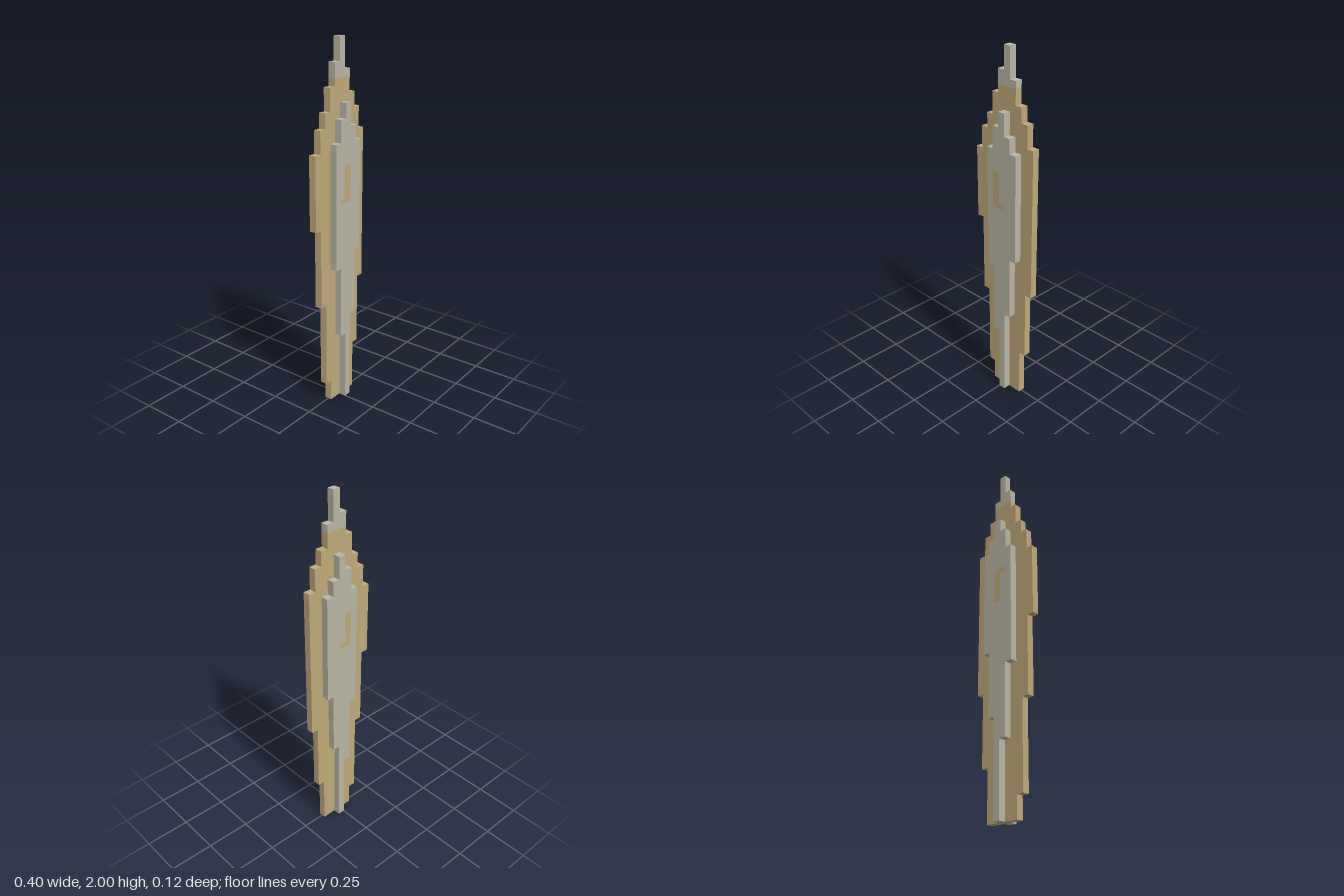
import * as THREE from 'three';

const gold = new THREE.MeshStandardMaterial({ name: 'dull gold', color: 0xbfa878 });
const grey = new THREE.MeshStandardMaterial({ name: 'warm grey', color: 0xbab5a3 });

// Stepped outline: each step is [x, yFrom, yTo], right edge going down, left edge going up
function steppedShape(right, left) {
  const points = [];
  for (const [x, a, b] of [...right, ...left]) {
    points.push(new THREE.Vector2(x, a), new THREE.Vector2(x, b));
  }
  return new THREE.Shape(points);
}

// Rectangular opening in the blade and panels
function windowHole() {
  return new THREE.Path([[-0.04, 1.16], [-0.04, 1.36], [0.04, 1.36], [0.04, 1.16]]
    .map(([x, y]) => new THREE.Vector2(x, y)));
}

function slab(name, shape, z, material) {
  const geometry = new THREE.ExtrudeGeometry(shape, { depth: 0.04, bevelEnabled: false });
  geometry.translate(0, 0, z - 0.02);
  const mesh = new THREE.Mesh(geometry, material);
  mesh.name = name;
  return mesh;
}

export function createModel() {
  const model = new THREE.Group();
  model.name = 'steppedBlade';

  // Gold blade
  const blade = steppedShape(
    [[0.08, 1.8, 1.72], [0.12, 1.72, 1.64], [0.16, 1.64, 1.52], [0.2, 1.52, 0.68],
      [0.16, 0.68, 0.28], [0.12, 0.28, 0]],
    [[-0.08, 0, 0.12], [-0.12, 0.12, 0.6], [-0.16, 0.6, 1.04], [-0.2, 1.04, 1.44],
      [-0.16, 1.44, 1.56], [-0.12, 1.56, 1.64], [-0.08, 1.64, 1.76], [-0.04, 1.76, 1.8]]);
  blade.holes.push(windowHole());
  model.add(slab('blade', blade, 0, gold));

  // Grey tip
  const tip = steppedShape([[0.04, 2, 1.84], [0.08, 1.84, 1.8]], [[-0.04, 1.8, 1.88], [0, 1.88, 2]]);
  model.add(slab('tip', tip, 0, grey));

  // Grey floor of the window recess
  const floor = new THREE.Mesh(new THREE.BoxGeometry(0.08, 0.2, 0.04), grey);
  floor.name = 'recessFloor';
  floor.position.set(0, 1.26, 0);
  model.add(floor);

  // Raised panels on front and back
  const panel = steppedShape(
    [[0.04, 1.68, 1.56], [0.08, 1.56, 1.48], [0.12, 1.48, 0.88], [0.08, 0.88, 0.52], [0.04, 0.52, 0]],
    [[0, 0, 0.4], [-0.04, 0.4, 0.8], [-0.08, 0.8, 1.48], [-0.04, 1.48, 1.6], [0, 1.6, 1.68]]);
  panel.holes.push(windowHole());
  model.add(slab('frontPanel', panel, 0.04, grey), slab('backPanel', panel, -0.04, grey));

  return model;
}
